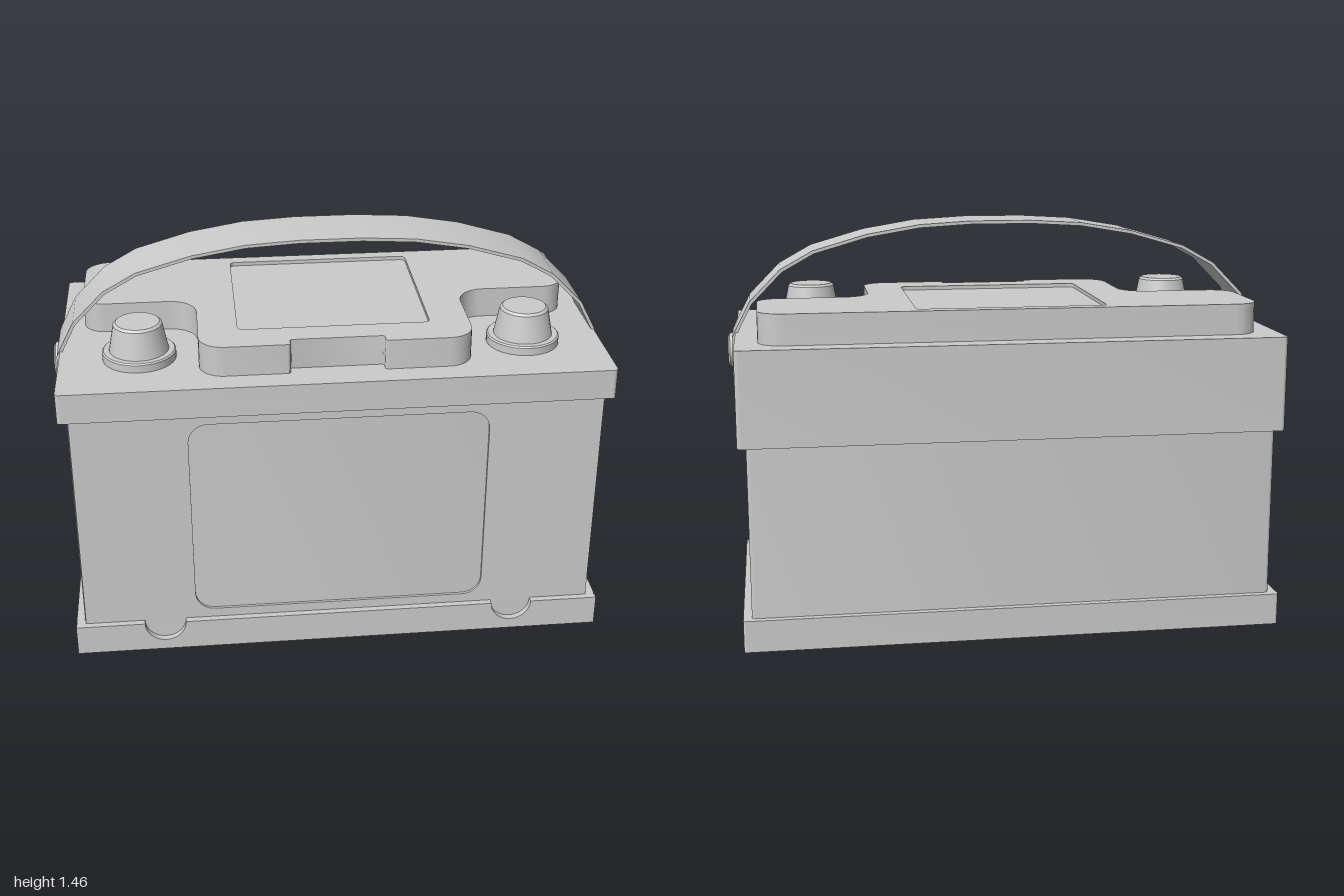
import * as THREE from 'three';
import { toCreasedNormals } from 'three/addons/utils/BufferGeometryUtils.js';

const material = new THREE.MeshStandardMaterial({ color: 0xcccccc });

// Outline through [x, y, radius] corners, each rounded by its radius
function roundedOutline(points, Type = THREE.Shape) {
  const path = new Type();
  const n = points.length;
  points.forEach(([x, y, r = 0], i) => {
    const corner = new THREE.Vector2(x, y);
    const toward = (p) => new THREE.Vector2(p[0], p[1]).sub(corner).normalize();
    const a = toward(points[(i + n - 1) % n]);
    const b = toward(points[(i + 1) % n]);
    const at = (dir, d) => corner.clone().addScaledVector(dir, d);
    const start = at(a, r), end = at(b, r);
    if (i === 0) path.moveTo(start.x, start.y);
    else path.lineTo(start.x, start.y);
    if (r > 0) {
      const c1 = at(a, r * 0.45), c2 = at(b, r * 0.45);
      path.bezierCurveTo(c1.x, c1.y, c2.x, c2.y, end.x, end.y);
    }
  });
  path.closePath();
  return path;
}

function rect(x0, x1, y0, y1, r, Type) {
  return roundedOutline([[x0, y0, r], [x1, y0, r], [x1, y1, r], [x0, y1, r]], Type);
}

function extrude(shape, depth) {
  return new THREE.ExtrudeGeometry(shape, { depth, bevelEnabled: false, curveSegments: 8 });
}

// Plan outline (x, -z) raised from y0 to y1
function upright(shape, y0, y1) {
  return extrude(shape, y1 - y0).rotateX(-Math.PI / 2).translate(0, y0, 0);
}

function add(parent, name, geometry, smooth = true) {
  const mesh = new THREE.Mesh(smooth ? toCreasedNormals(geometry, 0.6) : geometry, material);
  mesh.name = name;
  parent.add(mesh);
  return mesh;
}

export function createModel() {
  const group = new THREE.Group();
  group.name = 'carBattery';

  // Case, with a front skin that leaves the label panel recessed
  add(group, 'case', upright(rect(-0.94, 0.94, -0.456, 0.465, 0.015), 0.1, 1.0));
  const skin = rect(-0.935, 0.935, 0.1, 0.97, 0);
  skin.holes.push(rect(-0.53, 0.53, 0.15, 0.92, 0.07, THREE.Path));
  add(group, 'frontPanelFrame', extrude(skin, 0.01).translate(0, 0, 0.456));

  // Base, its front lip cut by two half-round notches
  add(group, 'base', upright(rect(-0.97, 0.97, -0.466, 0.49, 0.01), 0, 0.115));
  const lip = new THREE.Shape();
  lip.moveTo(-0.97, 0);
  lip.lineTo(0.97, 0);
  lip.lineTo(0.97, 0.115);
  for (const x of [0.645, -0.645]) {
    lip.lineTo(x + 0.075, 0.115);
    lip.absarc(x, 0.115, 0.075, 0, -Math.PI, true);
  }
  lip.lineTo(-0.97, 0.115);
  lip.closePath();
  add(group, 'baseLip', extrude(lip, 0.024).translate(0, 0, 0.466));

  // Lid, its lower edge sloping down toward the back
  const lid = upright(rect(-0.97, 0.97, -0.49, 0.49, 0.015), 0, 1.07);
  const pos = lid.attributes.position;
  for (let i = 0; i < pos.count; i++) {
    if (pos.getY(i) < 0.5) pos.setY(i, 0.845 + 0.235 * pos.getZ(i));
  }
  lid.computeVertexNormals();
  add(group, 'lid', lid);

  // Raised cover with terminal cutouts, a front notch and a sunken top panel
  const half = [
    [0.165, -0.36, 0.01], [0.165, -0.4, 0.01], [0.48, -0.4, 0.09],
    [0.48, 0.01, 0.1], [0.89, 0.01, 0.08], [0.89, 0.41, 0.09],
  ];
  const outline = [...half, ...half.map(([x, y, r]) => [-x, y, r]).reverse()];
  add(group, 'cover', upright(roundedOutline(outline), 1.065, 1.166));
  const rim = roundedOutline(outline);
  rim.holes.push(rect(-0.34, 0.34, -0.26, 0.36, 0.02, THREE.Path));
  add(group, 'coverRim', upright(rim, 1.166, 1.18));

  // Terminals: flange and tapered post
  const terminalProfile = [
    [0, 1.06], [0.13, 1.06], [0.13, 1.098], [0.125, 1.103], [0.105, 1.103],
    [0.086, 1.2], [0.077, 1.208], [0, 1.208],
  ].map(([r, y]) => new THREE.Vector2(r, y));
  for (const [side, name] of [[1, 'leftTerminal'], [-1, 'rightTerminal']]) {
    add(group, name, new THREE.LatheGeometry(terminalProfile, 32))
      .position.set(side * 0.687, 0, 0.215);
  }

  // Carrying strap: a thin arched band
  const arc = [
    [0.983, 0.905], [0.983, 1.05], [0.97, 1.078], [0.917, 1.18], [0.805, 1.294],
    [0.687, 1.36], [0.49, 1.417], [0.3, 1.449], [0.11, 1.46],
  ];
  const outer = [...arc, ...arc.map(([x, y]) => [-x, y]).reverse()]
    .map(([x, y]) => new THREE.Vector2(x, y));
  const inner = outer.map((p, i) => {
    const prev = outer[Math.max(i - 1, 0)];
    const next = outer[Math.min(i + 1, outer.length - 1)];
    const t = next.clone().sub(prev).normalize();
    return new THREE.Vector2(p.x - t.y * 0.012, p.y + t.x * 0.012);
  });
  // The offset is taken toward the inside of the arch
  inner.forEach((p, i) => p.copy(outer[i].clone().multiplyScalar(2).sub(p)));
  inner.forEach((p, i) => {
    if (Math.abs(p.x) > Math.abs(outer[i].x)) p.copy(outer[i].clone().multiplyScalar(2).sub(p));
  });
  const strap = new THREE.Shape([...outer, ...inner.reverse()]);
  add(group, 'strap', extrude(strap, 0.237).translate(0, 0, -0.09));

  // Strap rivets with dished centres
  const rivetProfile = [
    [0, 0.01], [0.038, 0.01], [0.042, 0.024], [0.052, 0.024], [0.063, 0.017], [0.063, 0], [0, 0],
  ].reverse().map(([r, y]) => new THREE.Vector2(r, y));
  for (const [side, name] of [[1, 'leftRivet'], [-1, 'rightRivet']]) {
    const rivet = add(group, name, new THREE.LatheGeometry(rivetProfile, 16));
    rivet.rotation.z = -side * Math.PI / 2;
    rivet.position.set(side * 0.976, 0.988, 0.03);
  }
  return group;
}
